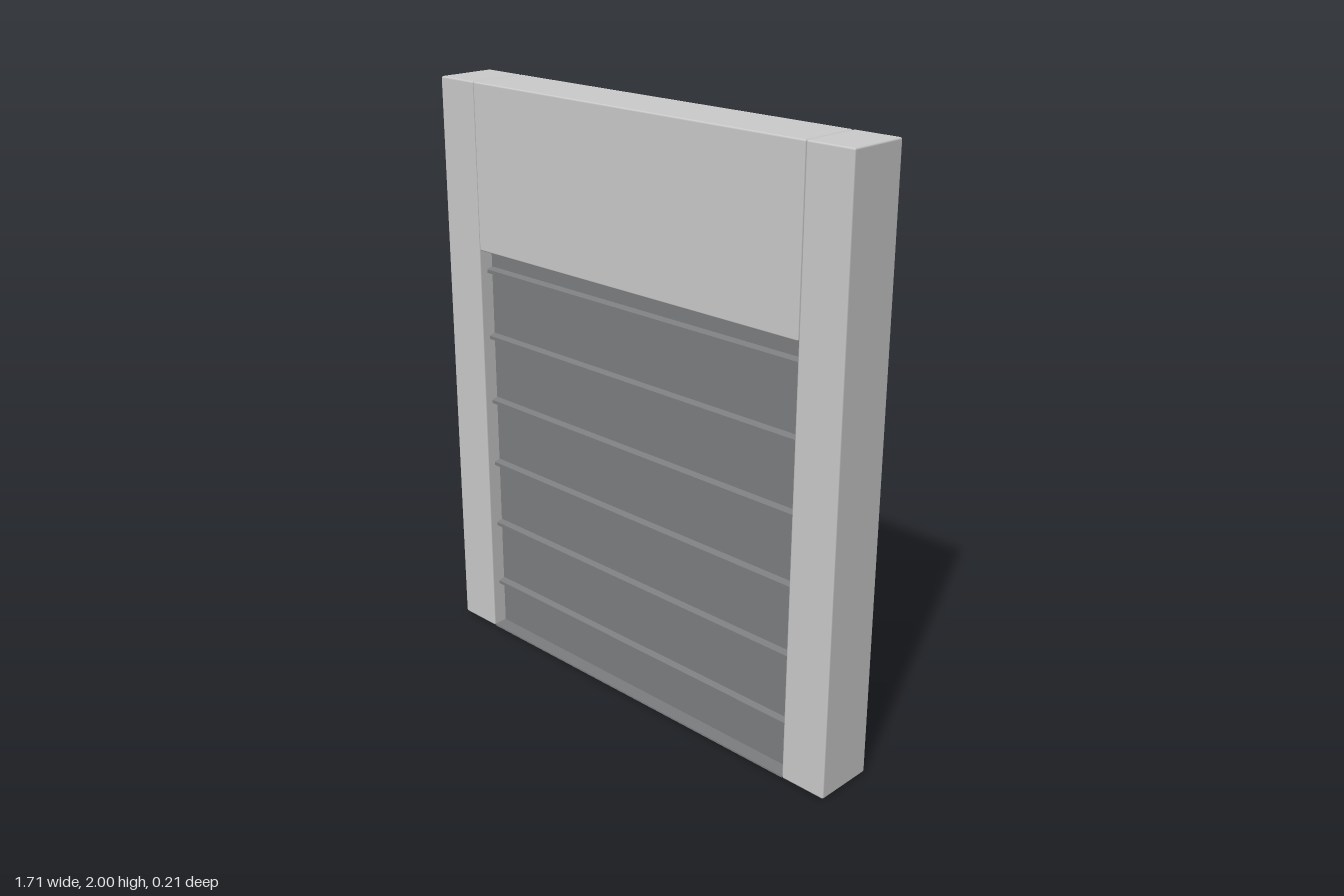
import * as THREE from 'three';
import { RoundedBoxGeometry } from 'three/addons/geometries/RoundedBoxGeometry.js';

export function createModel() {
  const model = new THREE.Group();
  const frameMat = new THREE.MeshStandardMaterial({ color: 0xcccccc });
  const doorMat = new THREE.MeshStandardMaterial({ color: 0x7d7e80 });

  const add = (name, geometry, material, x, y, z, parent = model) => {
    const mesh = new THREE.Mesh(geometry, material);
    mesh.name = name;
    mesh.position.set(x, y, z);
    parent.add(mesh);
    return mesh;
  };

  // Frame: two full-height posts and a deep header, with softened edges
  const depth = 0.21, bevel = 0.006, opening = 1.435;
  for (const [name, side] of [['leftPost', 1], ['rightPost', -1]]) {
    add(name, new RoundedBoxGeometry(0.163, 2, depth, 1, bevel), frameMat, side * 0.7725, 1, 0);
  }
  add('header', new RoundedBoxGeometry(1.38, 2 - opening, depth, 1, bevel), frameMat,
    0, (2 + opening) / 2, 0);

  // Thin threshold across the opening
  add('threshold', new THREE.BoxGeometry(1.38, 0.006, depth - 0.004), doorMat, 0, 0.003, 0);

  // Roll-down door: flat sheet set towards the front
  const door = new THREE.Group();
  door.name = 'door';
  model.add(door);
  const panelFront = 0.052, panelThick = 0.02;
  add('doorPanel', new THREE.BoxGeometry(1.382, opening, panelThick), doorMat,
    0, opening / 2 + 0.002, panelFront - panelThick / 2, door);

  // Raised ribs on the front face; profile drawn as (-z, y), then turned along x
  const rib = new THREE.Shape([
    [0.002, -0.011], [-0.022, -0.008], [-0.022, 0.004], [0.002, 0.011],
  ].reverse().map(([a, b]) => new THREE.Vector2(a, b)));
  const ribGeometry = new THREE.ExtrudeGeometry(rib, { depth: 1.382, bevelEnabled: false });
  ribGeometry.translate(0, 0, -0.691);
  ribGeometry.rotateY(Math.PI / 2);
  for (let i = 0; i < 6; i++) {
    add('doorRib' + (i + 1), ribGeometry, doorMat, 0, 0.172 + i * 0.2375, panelFront, door);
  }

  return model;
}
